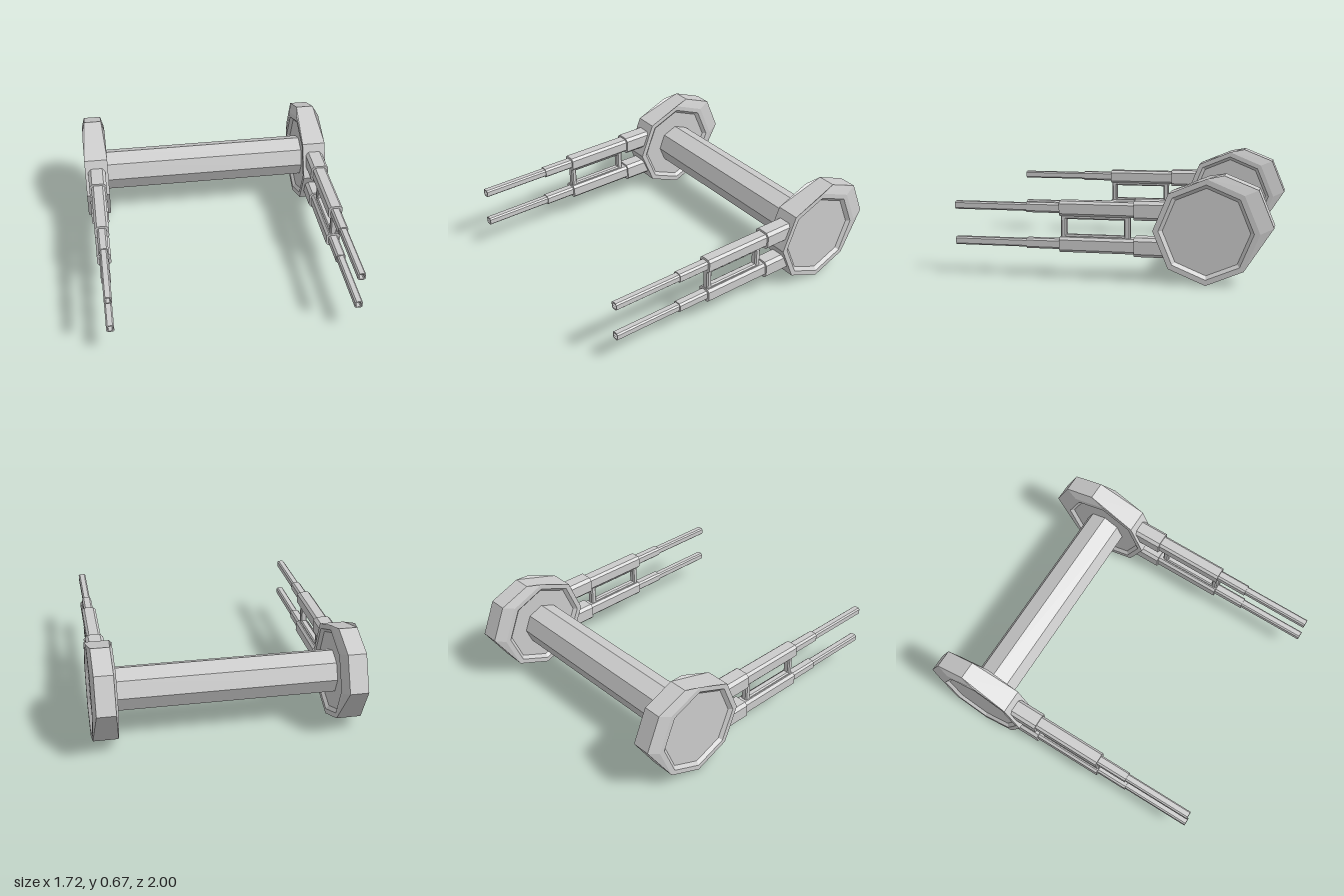
import * as THREE from 'three';

const material = new THREE.MeshStandardMaterial({ color: 0xcccccc, flatShading: true });

function part(name, geometry) {
  const mesh = new THREE.Mesh(geometry, material);
  mesh.name = name;
  return mesh;
}

// Skin neighbouring rings of points (ordered from +x to -x) with quads
function loft(rings) {
  const n = rings[0].length, index = [];
  for (let i = 0; i < rings.length - 1; i++) {
    for (let k = 0; k < n; k++) {
      const a = i * n + k, b = i * n + (k + 1) % n;
      index.push(a, b, b + n, a, b + n, a + n);
    }
  }
  const geometry = new THREE.BufferGeometry();
  geometry.setAttribute('position', new THREE.Float32BufferAttribute(rings.flat(2), 3));
  geometry.setIndex(index);
  geometry.computeVertexNormals();
  return geometry;
}

// Octagonal end pod: recessed sides and a rim pulled out toward the upper rear
const AXLE_Y = 0.325, AXLE_Z = -0.595;
function podGeometry() {
  const ring = (r, x) => Array.from({ length: 8 }, (_, k) => {
    const a = k * Math.PI / 4;
    return [x, AXLE_Y + r * Math.sin(a), AXLE_Z + r * Math.cos(a)];
  });
  const pulled = { 2: [0.67, -0.70], 3: [0.587, -0.907], 4: [0.361, -1] };
  const rim = (side) => ring(0.325, side * 0.08).map((p, k) =>
    pulled[k] ? [side * 0.06, ...pulled[k]] : p);
  return loft([
    ring(0, 0.06), ring(0.267, 0.06), ring(0.29, 0.08), ring(0.325, 0.08),
    rim(1), rim(-1),
    ring(0.325, -0.08), ring(0.29, -0.08), ring(0.267, -0.06), ring(0, -0.06),
  ]);
}

// Square outline with cut corners
function cutSquare(h, cut, PathType = THREE.Shape) {
  const c = h - cut;
  return new PathType([
    [h, -c], [h, c], [c, h], [-c, h], [-h, c], [-h, -c], [-c, -h], [c, -h],
  ].map(([x, y]) => new THREE.Vector2(x, y)));
}

// Prism running along z from z0 to z1, optionally with a bore
function prism(half, cut, z0, z1, bore) {
  const shape = cutSquare(half, cut);
  if (bore) shape.holes.push(cutSquare(bore, bore * 0.35, THREE.Path));
  const geometry = new THREE.ExtrudeGeometry(shape, { depth: z1 - z0, bevelEnabled: false });
  return geometry.translate(0, 0, z0);
}

// Telescoping gun: mount, body, sleeve and hollow barrel
function gun(name, y) {
  const group = new THREE.Group();
  group.name = name;
  group.add(
    part('mount', prism(0.06, 0.02, -0.36, -0.15)),
    part('body', prism(0.047, 0.016, -0.16, 0.32)),
    part('sleeve', prism(0.032, 0.012, 0.31, 0.535)),
    part('barrel', prism(0.025, 0.009, 0.53, 1, 0.017)),
  );
  group.position.y = y;
  return group;
}

// Bevelled rectangular frame joining the two guns
function braceGeometry() {
  const bevel = 0.008;
  const rect = (z0, z1, y0, y1, PathType) => new PathType([
    [z0, y0], [z1, y0], [z1, y1], [z0, y1],
  ].map(([z, y]) => new THREE.Vector2(-z, y)));
  const shape = rect(0.316 - bevel, -0.123 + bevel, 0.25, 0.4, THREE.Shape);
  shape.holes.push(rect(0.279 + bevel, -0.083 - bevel, 0.275 - bevel, 0.372 + bevel, THREE.Path));
  const geometry = new THREE.ExtrudeGeometry(shape, {
    depth: 0.03, bevelSize: bevel, bevelThickness: bevel, bevelSegments: 1,
  });
  return geometry.translate(0, 0, -0.015).rotateY(Math.PI / 2);
}

export function createModel() {
  const model = new THREE.Group();
  model.name = 'twinGunAssembly';

  // Octagonal crossbar between the pods
  const axle = part('crossbar', new THREE.CylinderGeometry(0.145, 0.145, 1.46, 8).rotateZ(Math.PI / 2));
  axle.position.set(0, AXLE_Y, AXLE_Z);
  model.add(axle);

  // One pod with a pair of guns on each side
  for (const [name, side] of [['left', 1], ['right', -1]]) {
    const group = new THREE.Group();
    group.name = name + 'GunPod';
    group.add(
      part('pod', podGeometry()),
      gun('upperGun', 0.44),
      gun('lowerGun', 0.213),
      part('brace', braceGeometry()),
    );
    group.position.x = side * 0.78;
    model.add(group);
  }
  return model;
}
